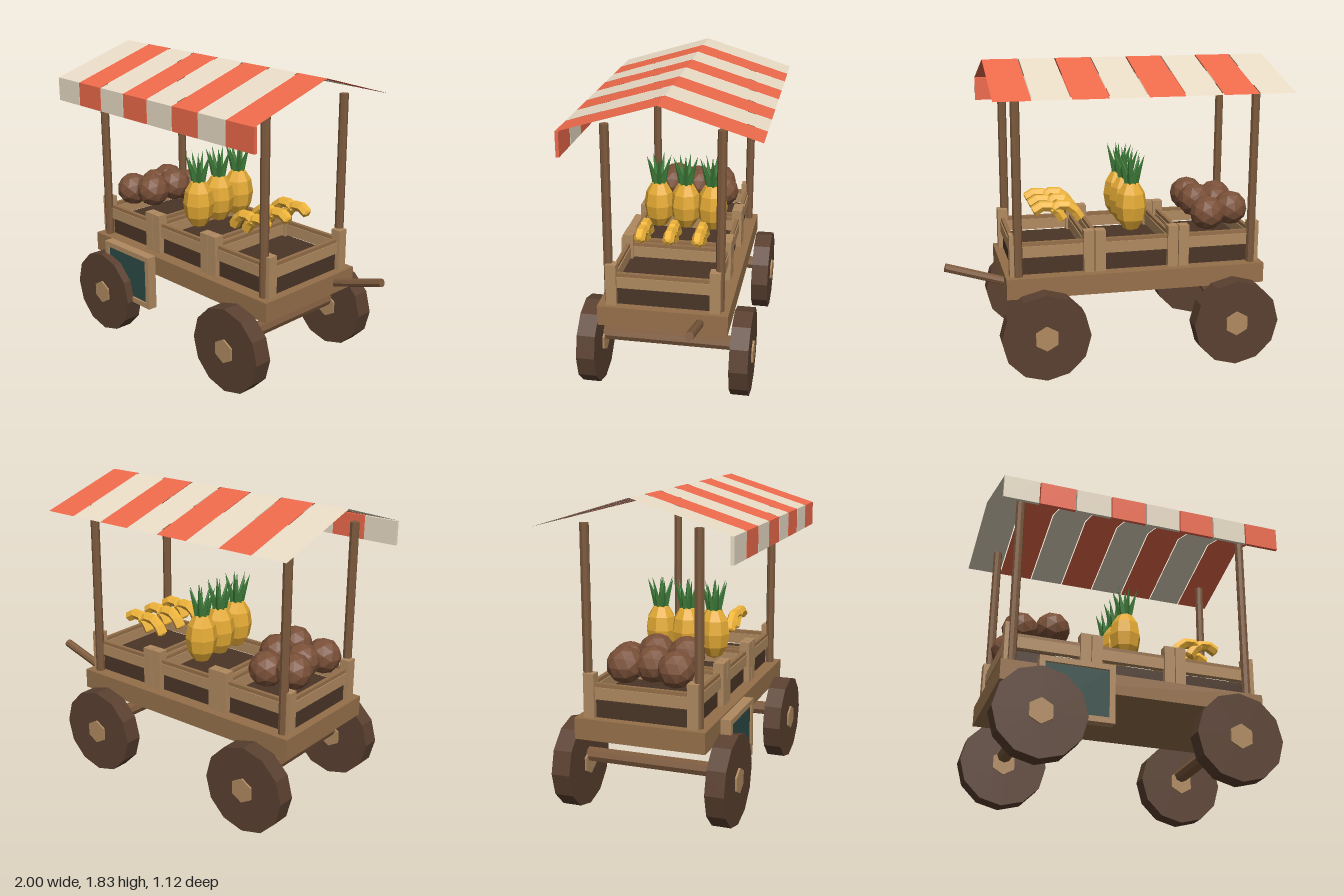
import * as THREE from 'three';

const mat = (color, extra = {}) => new THREE.MeshStandardMaterial({ color, flatShading: true, ...extra });
const M = {
  deck: mat(0x96704a), post: mat(0x7d5a3d), board: mat(0xb08a60), dark: mat(0x4a3526),
  wheel: mat(0x5a4030), coconut: mat(0x7a5038), yellow: mat(0xe5ab35), banana: mat(0xf0b53a),
  leaf: mat(0x3f7d3a), slate: mat(0x2c4a45),
  cream: mat(0xe9dcc6, { side: THREE.DoubleSide }), red: mat(0xee6a4b, { side: THREE.DoubleSide }),
};

function add(parent, name, geometry, material, x = 0, y = 0, z = 0) {
  const mesh = new THREE.Mesh(geometry, material);
  mesh.name = name;
  mesh.position.set(x, y, z);
  parent.add(mesh);
  return mesh;
}

// Box given by its limits on each axis
function box(parent, name, material, x0, x1, y0, y1, z0, z1) {
  return add(parent, name, new THREE.BoxGeometry(x1 - x0, y1 - y0, z1 - z0), material,
    (x0 + x1) / 2, (y0 + y1) / 2, (z0 + z1) / 2);
}

function group(parent, name) {
  const g = new THREE.Group();
  g.name = name;
  parent.add(g);
  return g;
}

// Open slatted crate with corner boards and a dark filled base
function crate(parent, x0, x1) {
  const g = group(parent, 'crate');
  const w = 0.063, zo = 0.335, zi = zo - w;
  box(g, 'crateBase', M.dark, x0 + 0.03, x1 - 0.03, 0.59, 0.69, -0.3, 0.3);
  for (const x of [x0, x1 - w]) {
    for (const z of [-zo, zi]) box(g, 'cornerBoard', M.board, x, x + w, 0.59, 0.845, z, z + w);
  }
  for (const [y0, y1, inset, m] of [[0.7, 0.768, 0, M.board], [0.768, 0.79, 0.006, M.deck]]) {
    for (const s of [-1, 1]) {
      const a = s * (0.32 - inset), b = s * (0.285 + inset);
      box(g, 'longSlat', m, x0 + w, x1 - w, y0, y1, Math.min(a, b), Math.max(a, b));
      const c = s > 0 ? x1 - 0.05 : x0 + 0.015;
      box(g, 'endSlat', m, c + inset, c + 0.035 - inset, y0, y1, -zi, zi);
    }
  }
}

function pineapple(parent, x, z) {
  const g = group(parent, 'pineapple');
  g.position.set(x, 0.943, z);
  add(g, 'pineappleBody', new THREE.SphereGeometry(1, 8, 6).scale(0.097, 0.16, 0.097), M.yellow);
  // Crown: one upright leaf and a ring of leaning ones
  const leaf = new THREE.ConeGeometry(0.024, 0.19, 4).translate(0, 0.095, 0);
  add(g, 'crownLeaf', leaf, M.leaf, 0, 0.135, 0);
  for (let i = 0; i < 7; i++) {
    const a = (i / 7) * Math.PI * 2;
    const l = add(g, 'crownLeaf', leaf, M.leaf, Math.sin(a) * 0.02, 0.135, Math.cos(a) * 0.02);
    l.rotation.set(0.32, a, 0, 'YXZ');
  }
}

// Bent six-sided fruit with pointed ends
function banana(parent, x, z) {
  const pts = [[0, 0.885], [0.05, 0.953], [0.115, 0.972], [0.175, 0.94]]
    .map(([px, py]) => new THREE.Vector3(px, py, 0));
  const curve = new THREE.CatmullRomCurve3(pts);
  const g = group(parent, 'banana');
  g.position.set(x, 0, z);
  add(g, 'bananaBody', new THREE.TubeGeometry(curve, 4, 0.034, 6), M.banana);
  for (const t of [0, 1]) {
    const dir = curve.getTangent(t).multiplyScalar(t ? 1 : -1);
    const p = curve.getPoint(t);
    const tip = add(g, 'bananaTip', new THREE.CylinderGeometry(0.017, 0.034, 0.014, 6), M.banana, p.x, p.y, 0);
    tip.quaternion.setFromUnitVectors(new THREE.Vector3(0, 1, 0), dir);
  }
}

export function createModel() {
  const cart = new THREE.Group();
  cart.name = 'marketCart';

  // Deck and pull handle
  box(cart, 'deck', M.deck, -0.92, 0.655, 0.47, 0.592, -0.383, 0.383);
  const handle = add(cart, 'handle', new THREE.CylinderGeometry(0.026, 0.026, 0.37, 8), M.post, 0.82, 0.588, -0.22);
  handle.rotation.z = -Math.PI / 2 + 0.3;

  // Wheels, hubs and axles
  for (const x of [-0.713, 0.443]) {
    const axle = add(cart, 'axle', new THREE.CylinderGeometry(0.044, 0.044, 0.8, 8), M.post, x, 0.307, 0);
    axle.rotation.x = Math.PI / 2;
    for (const s of [-1, 1]) {
      const wheel = group(cart, 'wheel');
      wheel.position.set(x, 0.263, s * 0.452);
      wheel.rotation.x = Math.PI / 2;
      add(wheel, 'wheelDisc', new THREE.CylinderGeometry(0.263, 0.263, 0.11, 12), M.wheel);
      add(wheel, 'hub', new THREE.CylinderGeometry(0.075, 0.075, 0.132, 6), M.board);
    }
  }

  // Canopy posts
  for (const x of [-0.85, 0.58]) {
    for (const z of [-0.326, 0.326]) {
      add(cart, 'canopyPost', new THREE.CylinderGeometry(0.027, 0.027, 1.09, 8), M.post, x, 1.125, z);
    }
  }

  // Striped gable canopy with a front valance
  const canopy = group(cart, 'canopy');
  const pitch = 0.2165, width = 0.21, run = 0.56, rise = 0.17;
  const slope = Math.atan2(rise, run);
  for (let i = 0; i < 8; i++) {
    const m = i % 2 ? M.red : M.cream;
    const x = -1 + pitch * i + width / 2;
    for (const s of [-1, 1]) {
      const cloth = add(canopy, 'roofStripe', new THREE.PlaneGeometry(width, Math.hypot(run, rise)), m,
        x, 1.825 - rise / 2, s * run / 2);
      cloth.rotation.x = -Math.PI / 2 + s * slope;
    }
    box(canopy, 'valance', m, x - width / 2, x + width / 2, 1.512, 1.656, 0.54, 0.56);
  }

  // Crates
  crate(cart, -0.897, -0.393);
  crate(cart, -0.388, 0.12);
  crate(cart, 0.125, 0.63);

  // Coconuts
  const nut = new THREE.IcosahedronGeometry(0.107, 1);
  for (const [x, y, z] of [[-0.78, 0.885, 0.17], [-0.585, 0.92, 0.16], [-0.585, 0.92, -0.02],
    [-0.78, 0.885, -0.13], [-0.62, 0.87, -0.17], [-0.73, 0.89, 0.02]]) {
    add(cart, 'coconut', nut, M.coconut, x, y, z);
  }

  // Pineapples and bananas
  for (const z of [-0.17, 0, 0.17]) {
    pineapple(cart, -0.135, z);
    banana(cart, 0.18, z);
    banana(cart, 0.285, z);
  }

  // Chalkboard sign hung on the front
  const sign = group(cart, 'sign');
  sign.position.set(-0.505, 0.435, 0.43);
  box(sign, 'signBack', M.board, -0.21, 0.21, -0.165, 0.165, -0.025, 0.02);
  box(sign, 'slate', M.slate, -0.185, 0.185, -0.14, 0.14, 0.02, 0.024);
  for (const s of [-1, 1]) {
    add(sign, 'signRail', new THREE.BoxGeometry(0.435, 0.033, 0.06), M.board, 0, s * 0.158, 0.005);
    add(sign, 'signStile', new THREE.BoxGeometry(0.033, 0.349, 0.06), M.board, s * 0.201, 0, 0.005);
  }
  return cart;
}
